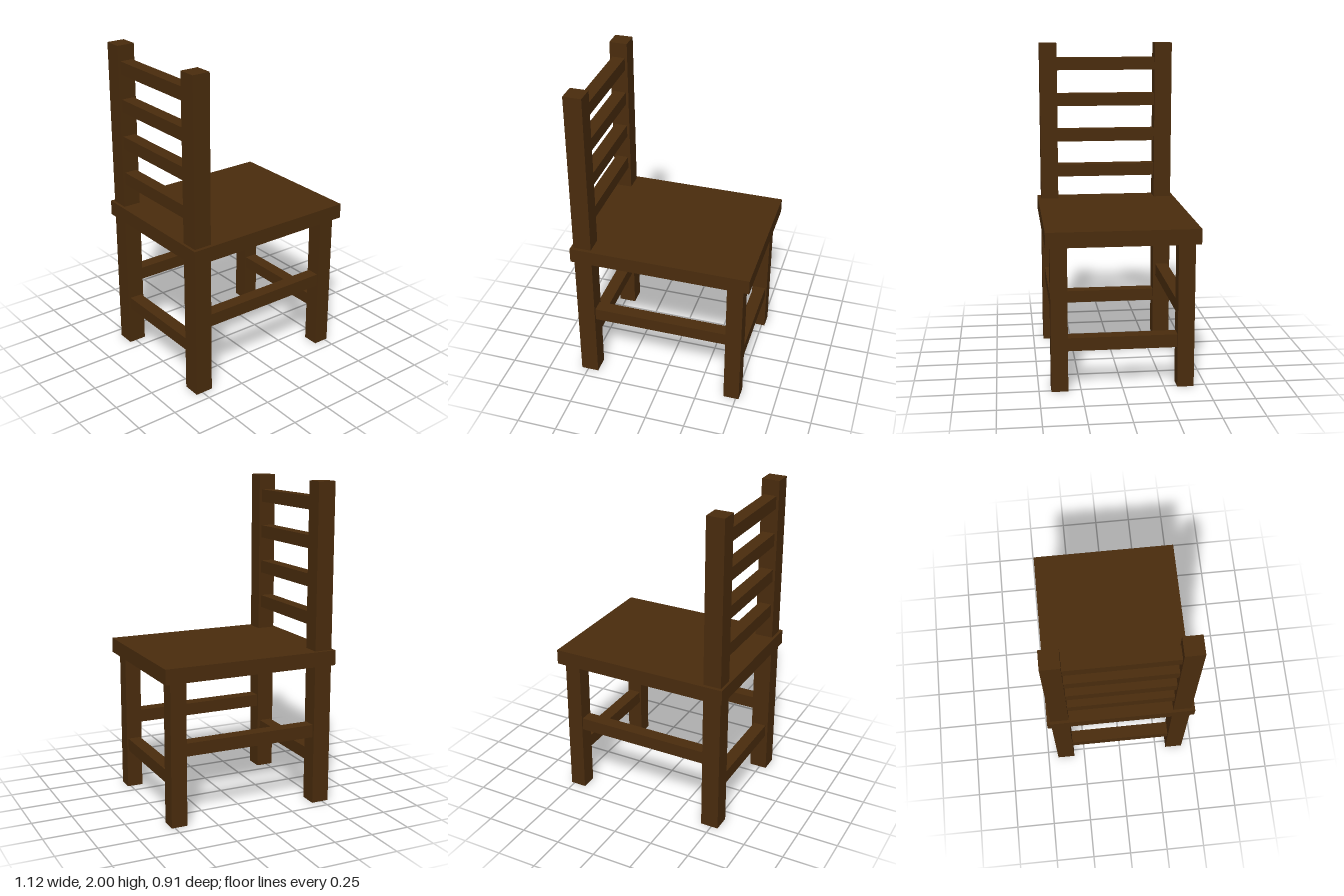
import * as THREE from 'three';

export function createModel() {
  const chair = new THREE.Group();
  chair.name = 'chair';
  const wood = new THREE.MeshStandardMaterial({ color: 0x4a2c0d });

  // Box given by its size and centre
  const addBox = (name, [w, h, d], [x, y, z]) => {
    const mesh = new THREE.Mesh(new THREE.BoxGeometry(w, h, d), wood);
    mesh.name = name;
    mesh.position.set(x, y, z);
    chair.add(mesh);
  };

  const postX = -0.487, legX = 0.47, sideZ = 0.377;
  const post = 0.112, leg = 0.1, rail = 0.08;
  const seatBottom = 0.885, seatTop = 0.978;

  addBox('seat', [1.12, seatTop - seatBottom, 0.91], [0, (seatBottom + seatTop) / 2, 0]);

  for (const [side, s] of [['A', 1], ['B', -1]]) {
    // Tall rear posts and short front legs
    addBox('backPost' + side, [post, 2, post], [postX, 1, s * sideZ]);
    addBox('frontLeg' + side, [leg, seatBottom, leg], [legX, seatBottom / 2, s * sideZ]);
    // Side stretcher between rear post and front leg
    const x0 = postX + post / 2, x1 = legX - leg / 2;
    addBox('sideStretcher' + side, [x1 - x0, rail, rail], [(x0 + x1) / 2, 0.468, s * sideZ]);
  }

  // Lower cross stretchers
  addBox('frontStretcher', [rail, rail, 2 * sideZ - leg], [legX, 0.287, 0]);
  addBox('backStretcher', [rail, rail, 2 * sideZ - post], [postX, 0.287, 0]);

  // Ladder slats of the backrest
  for (let i = 0; i < 4; i++) {
    addBox('backSlat' + (i + 1), [rail, rail, 2 * sideZ - post], [postX, 1.163 + i * 0.234, 0]);
  }

  return chair;
}
